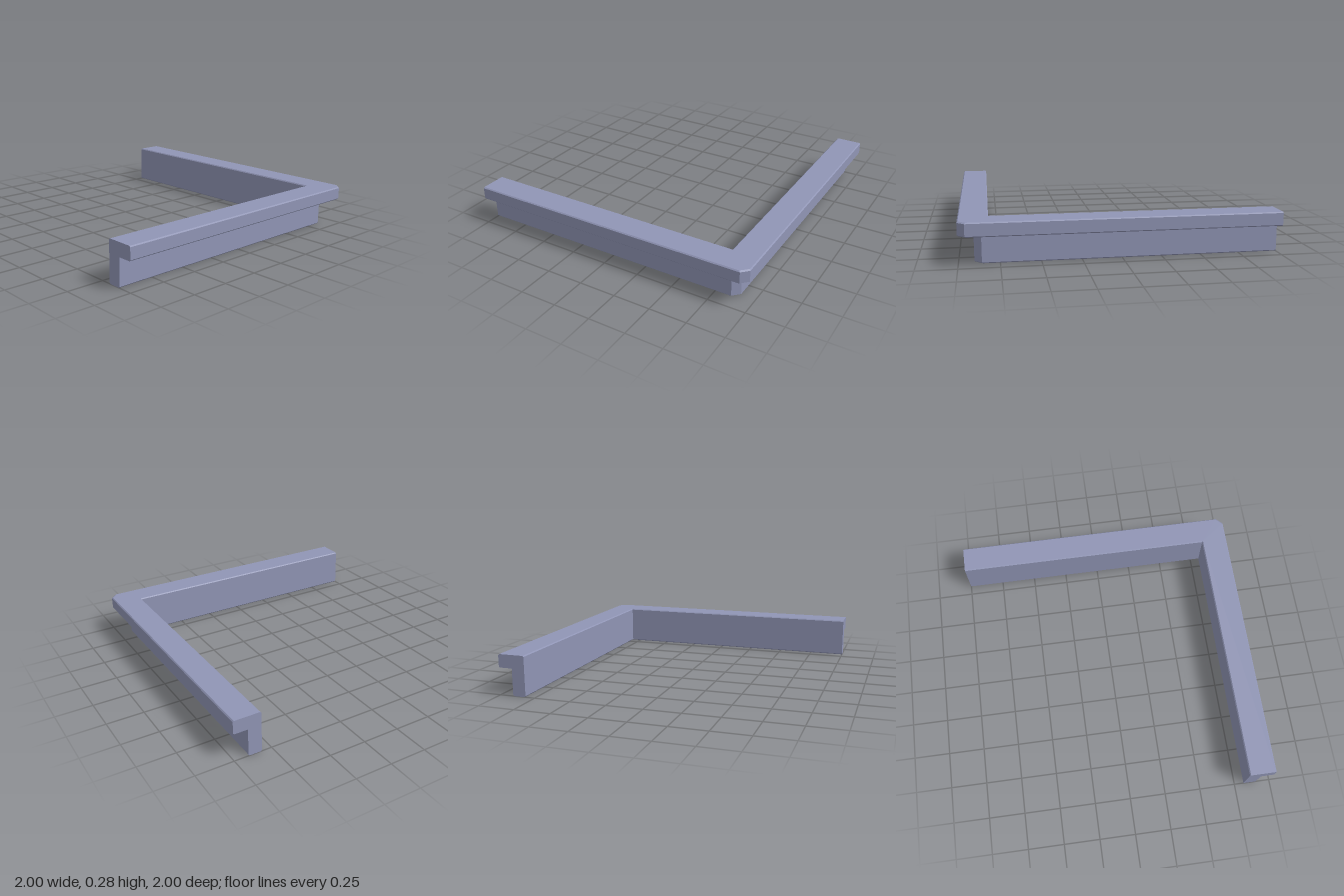
import * as THREE from 'three';

const INNER = 0.815, LEDGE = 0.905, OUTER = 1;   // distances from the centre
const STEP = 0.185, TOP = 0.275;                 // heights
const B = 0.007, CHAMFER = 0.045;                // edge bevel, corner cut

// Cross-section as (outward distance, height), counter-clockwise
const profile = [
  [INNER + B, 0], [LEDGE - B, 0], [LEDGE, B], [LEDGE, STEP],
  [OUTER - B, STEP], [OUTER, STEP + B], [OUTER, TOP - B], [OUTER - B, TOP],
  [INNER + B, TOP], [INNER, TOP - B], [INNER, B],
].map(([d, y]) => new THREE.Vector2(d, y));

// Point of the section at the four stations: left end, corner cut start, corner cut end, back end
function pointAt(station, { x: d, y }) {
  const cut = d > INNER + 2 * B ? CHAMFER : 0;
  const [x, z] = [[-1, d], [d - cut, d], [d, d - cut], [d, -1]][station];
  return [x, y, z];
}

function cornerRailGeometry() {
  const positions = [];
  const tri = (a, b, c) => positions.push(...a, ...b, ...c);
  const n = profile.length;

  // Long faces, running around the corner
  for (let s = 0; s < 3; s++) {
    for (let i = 0; i < n; i++) {
      const p = profile[i], q = profile[(i + 1) % n];
      const a = pointAt(s, p), b = pointAt(s + 1, p);
      const c = pointAt(s + 1, q), d = pointAt(s, q);
      const same = (u, v) => u.every((k, j) => k === v[j]);
      if (!same(a, b)) tri(a, b, c);
      if (!same(c, d)) tri(a, c, d);
    }
  }
  // Flat ends
  for (const [i, j, k] of THREE.ShapeUtils.triangulateShape(profile, [])) {
    tri(pointAt(0, profile[i]), pointAt(0, profile[j]), pointAt(0, profile[k]));
    tri(pointAt(3, profile[k]), pointAt(3, profile[j]), pointAt(3, profile[i]));
  }

  const geometry = new THREE.BufferGeometry();
  geometry.setAttribute('position', new THREE.Float32BufferAttribute(positions, 3));
  geometry.computeVertexNormals();
  return geometry;
}

export function createModel() {
  const group = new THREE.Group();
  group.name = 'cornerLedge';
  const material = new THREE.MeshStandardMaterial({ color: 0x9095b5 });
  material.name = 'greyBlue';
  const rail = new THREE.Mesh(cornerRailGeometry(), material);
  rail.name = 'cornerRail';
  group.add(rail);
  return group;
}
